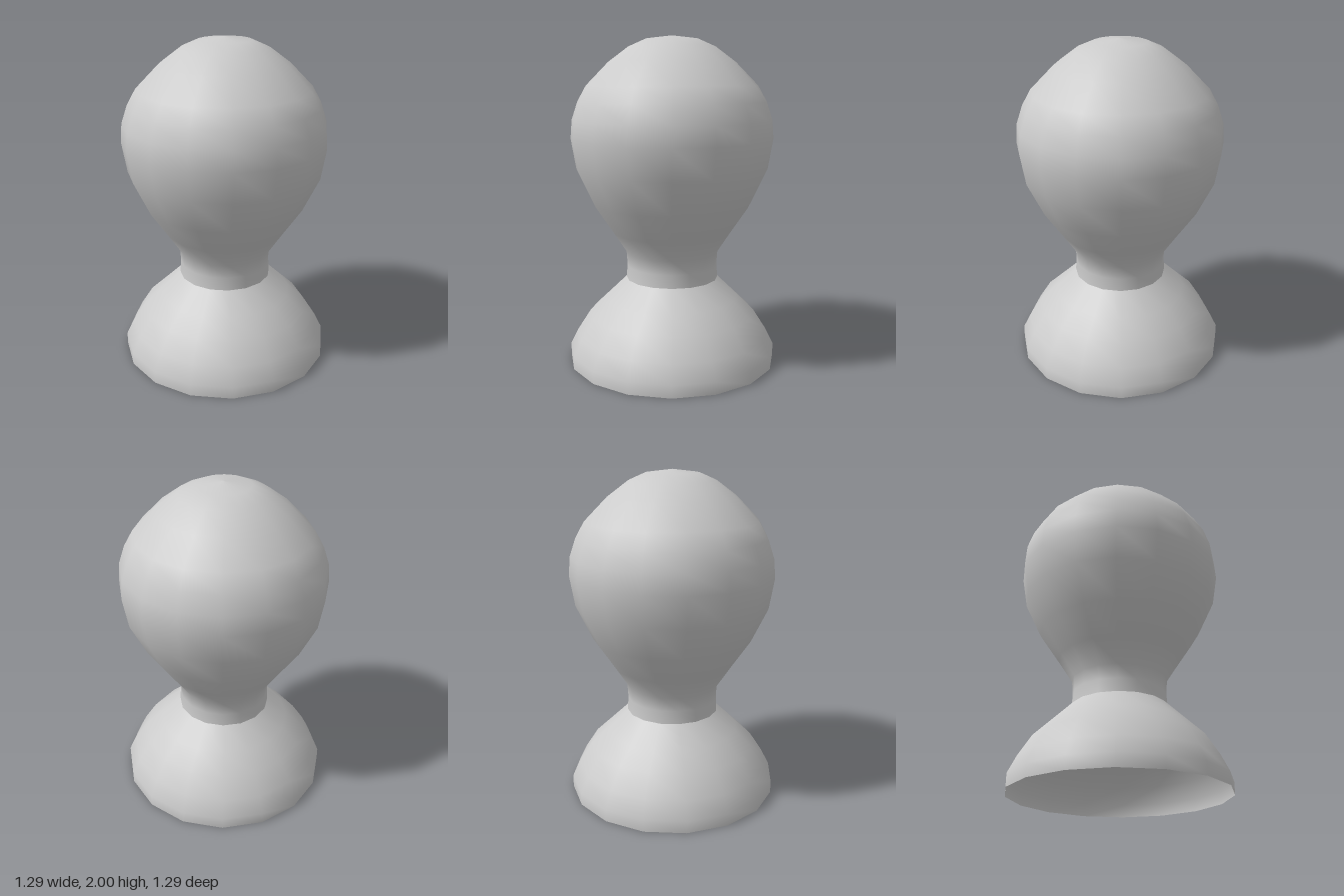
import * as THREE from 'three';

const SIDES = 16;

export function createModel() {
  const group = new THREE.Group();
  group.name = 'pawnShapedKnob';
  const material = new THREE.MeshStandardMaterial({ color: 0xcccccc, side: THREE.DoubleSide });

  // Turned part from [radius, height] pairs, bottom to top
  const turned = (name, profile) => {
    const points = profile.map(([r, y]) => new THREE.Vector2(r, y));
    const mesh = new THREE.Mesh(new THREE.LatheGeometry(points, SIDES), material);
    mesh.name = name;
    group.add(mesh);
  };

  // Hollow flared foot, open underneath
  turned('base', [
    [0.645, 0], [0.645, 0.075], [0.595, 0.175], [0.515, 0.3], [0.41, 0.4], [0.285, 0.52],
  ]);

  // Neck widening into the rounded head; the sharp seam sits where it meets the foot
  turned('neckAndHead', [
    [0.285, 0.52], [0.279, 0.6], [0.285, 0.685], [0.37, 0.815], [0.488, 0.99],
    [0.588, 1.2], [0.619, 1.385], [0.61, 1.5], [0.573, 1.61], [0.52, 1.705],
    [0.383, 1.845], [0.262, 1.935], [0.16, 1.98], [0, 2],
  ]);

  return group;
}
